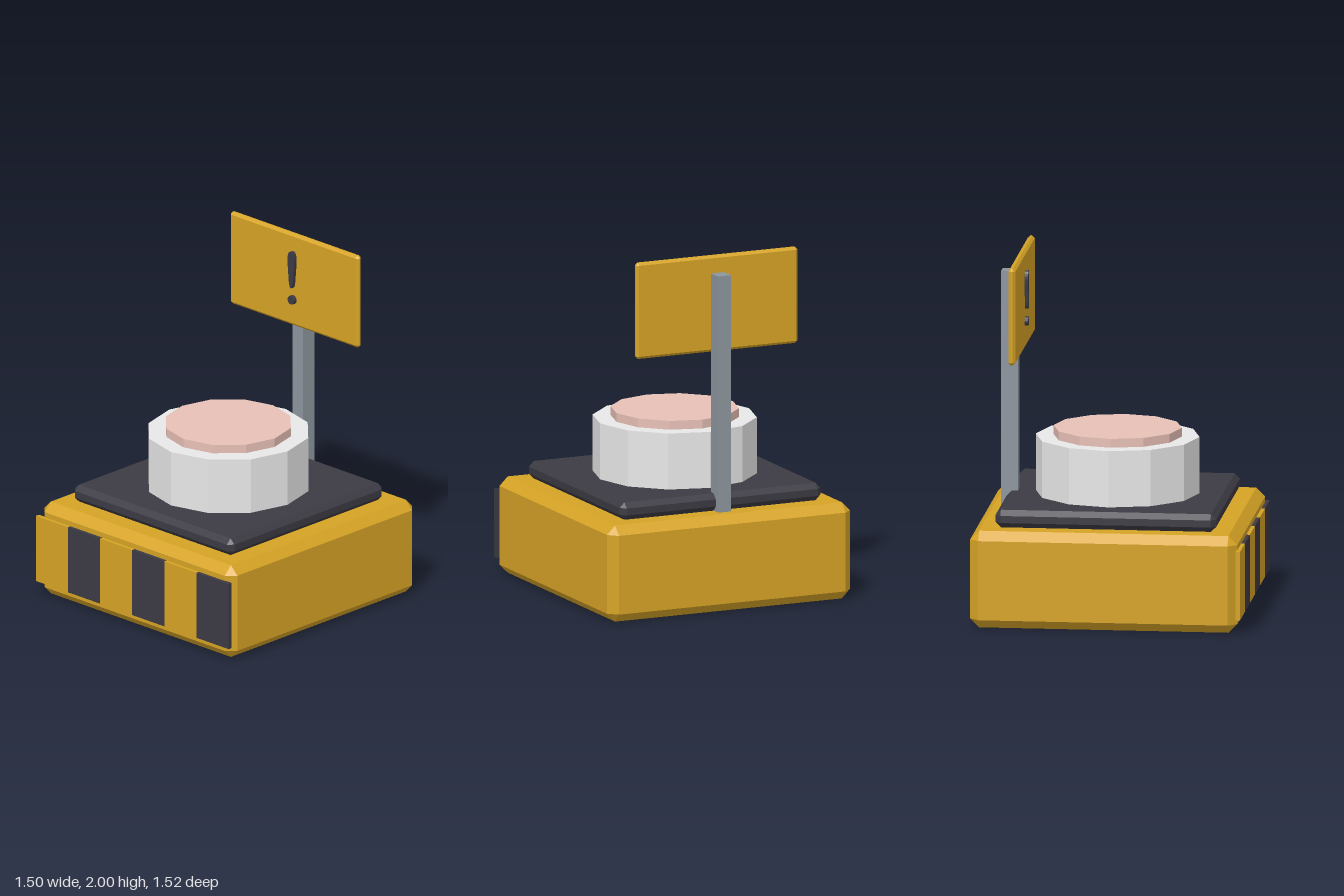
import * as THREE from 'three';
import { ConvexGeometry } from 'three/addons/geometries/ConvexGeometry.js';

const material = (name, color) => {
  const m = new THREE.MeshStandardMaterial({ color, flatShading: true });
  m.name = name;
  return m;
};

// Box with every edge bevelled by b
function chamferBox(w, h, d, b) {
  const half = [w / 2, h / 2, d / 2];
  const points = [];
  for (let axis = 0; axis < 3; axis++)
    for (const sx of [-1, 1]) for (const sy of [-1, 1]) for (const sz of [-1, 1]) {
      const p = [sx, sy, sz].map((s, i) => s * (half[i] - (i === axis ? 0 : b)));
      points.push(new THREE.Vector3(...p));
    }
  return new ConvexGeometry(points);
}

export function createModel() {
  const group = new THREE.Group();
  const yellow = material('safety yellow', 0xd6a325);
  const dark = material('charcoal', 0x3c3a43);
  const white = material('light grey', 0xe8e8e8);
  const pink = material('pale pink', 0xe8c1b7);
  const steel = material('steel grey', 0x8c959d);

  const add = (name, geometry, mat, x, y, z) => {
    const mesh = new THREE.Mesh(geometry, mat);
    mesh.name = name;
    mesh.position.set(x, y, z);
    group.add(mesh);
    return mesh;
  };

  // Pedestal and top plate
  add('base', chamferBox(1.5, 0.55, 1.5, 0.05), yellow, 0, 0.275, -0.01);
  add('topPlate', chamferBox(1.24, 0.1, 1.24, 0.03), dark, 0, 0.6, -0.01);

  // Hazard stripes across the front
  for (let i = 0; i < 6; i++)
    add('stripe' + (i + 1), new THREE.BoxGeometry(0.25, 0.39, 0.025),
      i % 2 ? dark : yellow, -0.625 + i * 0.25, 0.275, 0.7475);

  // Push button
  add('buttonCollar', new THREE.CylinderGeometry(0.46, 0.46, 0.32, 12), white, 0, 0.81, -0.01);
  add('buttonCap', new THREE.CylinderGeometry(0.36, 0.36, 0.05, 12), pink, 0, 0.995, -0.01);

  // Sign post, running through the base to its underside
  add('signPost', new THREE.BoxGeometry(0.08, 1.901, 0.095), steel, 0, 0.9495, -0.6125);
  add('signBoard', chamferBox(1, 0.55, 0.04, 0.015), yellow, 0, 1.725, -0.55);

  // Exclamation mark: tapered stroke above a dot
  const stroke = new THREE.Shape();
  stroke.moveTo(0, 1.68);
  stroke.quadraticCurveTo(0.012, 1.685, 0.016, 1.72);
  stroke.lineTo(0.026, 1.83);
  stroke.bezierCurveTo(0.03, 1.875, 0.018, 1.9, 0, 1.9);
  stroke.bezierCurveTo(-0.018, 1.9, -0.03, 1.875, -0.026, 1.83);
  stroke.lineTo(-0.016, 1.72);
  stroke.quadraticCurveTo(-0.012, 1.685, 0, 1.68);
  const dot = new THREE.Shape().absarc(0, 1.61, 0.026, 0, Math.PI * 2);
  const extrude = { depth: 0.025, bevelEnabled: false, curveSegments: 6 };
  add('markStroke', new THREE.ExtrudeGeometry(stroke, extrude), dark, 0, 0, -0.535);
  add('markDot', new THREE.ExtrudeGeometry(dot, extrude), dark, 0, 0, -0.535);

  return group;
}
